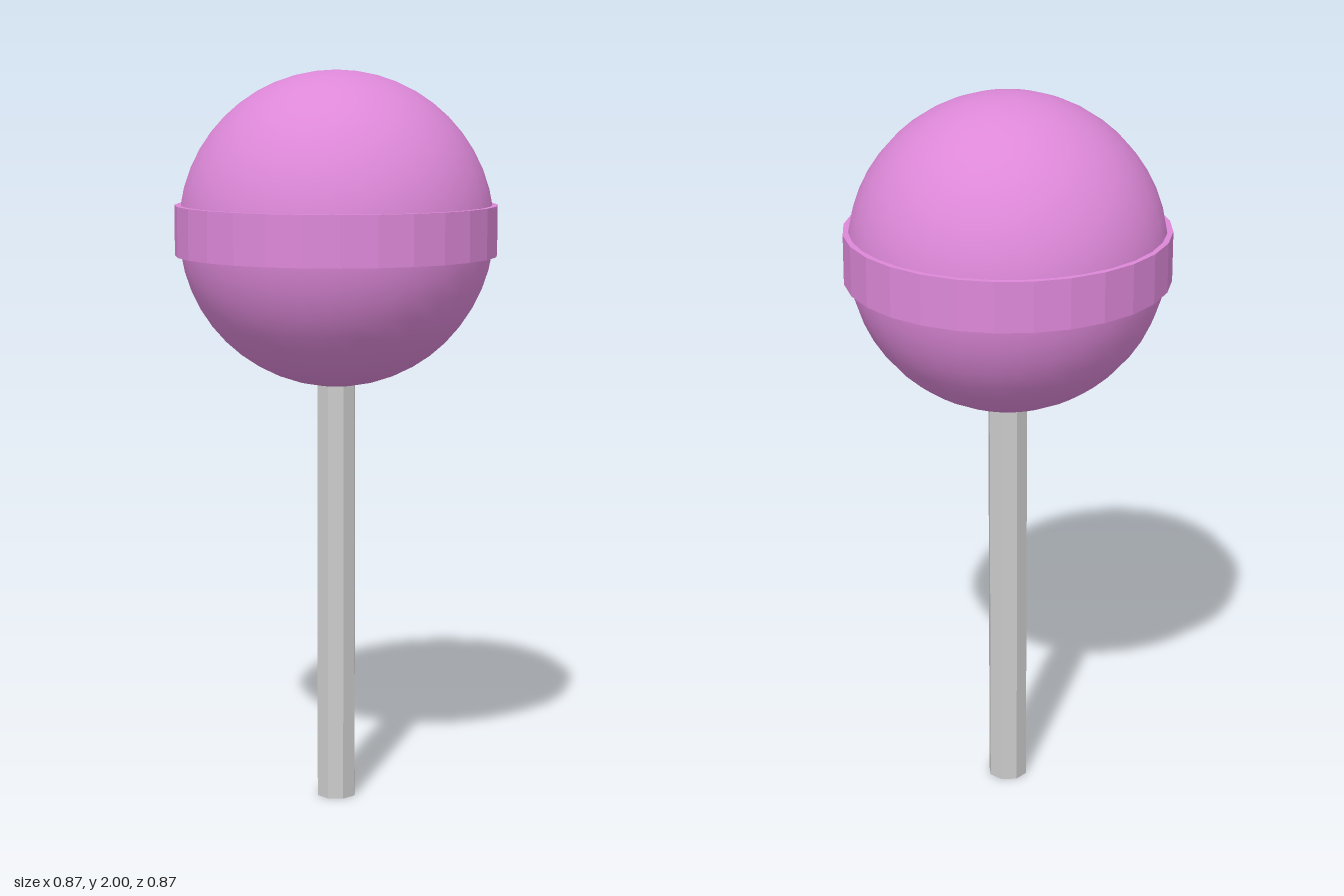
import * as THREE from 'three';

const RADIUS = 0.425;
const CENTRE_Y = 2 - RADIUS;

export function createModel() {
  const model = new THREE.Group();
  model.name = 'lollipop';

  const candySmooth = new THREE.MeshStandardMaterial({ color: 0xdd88d8 });
  const candyFlat = new THREE.MeshStandardMaterial({ color: 0xdd88d8, flatShading: true });
  const grey = new THREE.MeshStandardMaterial({ color: 0xcccccc, flatShading: true });

  const add = (name, geometry, material, y) => {
    const mesh = new THREE.Mesh(geometry, material);
    mesh.name = name;
    mesh.position.y = y;
    model.add(mesh);
  };

  // Smooth round candy
  add('candyBall', new THREE.SphereGeometry(RADIUS, 32, 24), candySmooth, CENTRE_Y);

  // Faceted band around the middle
  add('candyBand', new THREE.CylinderGeometry(0.435, 0.435, 0.135, 28), candyFlat, CENTRE_Y - 0.002);

  // Eight-sided stick, ending just inside the candy
  const stickHeight = 1.2;
  add('stick', new THREE.CylinderGeometry(0.055, 0.055, stickHeight, 8), grey, stickHeight / 2);

  return model;
}
